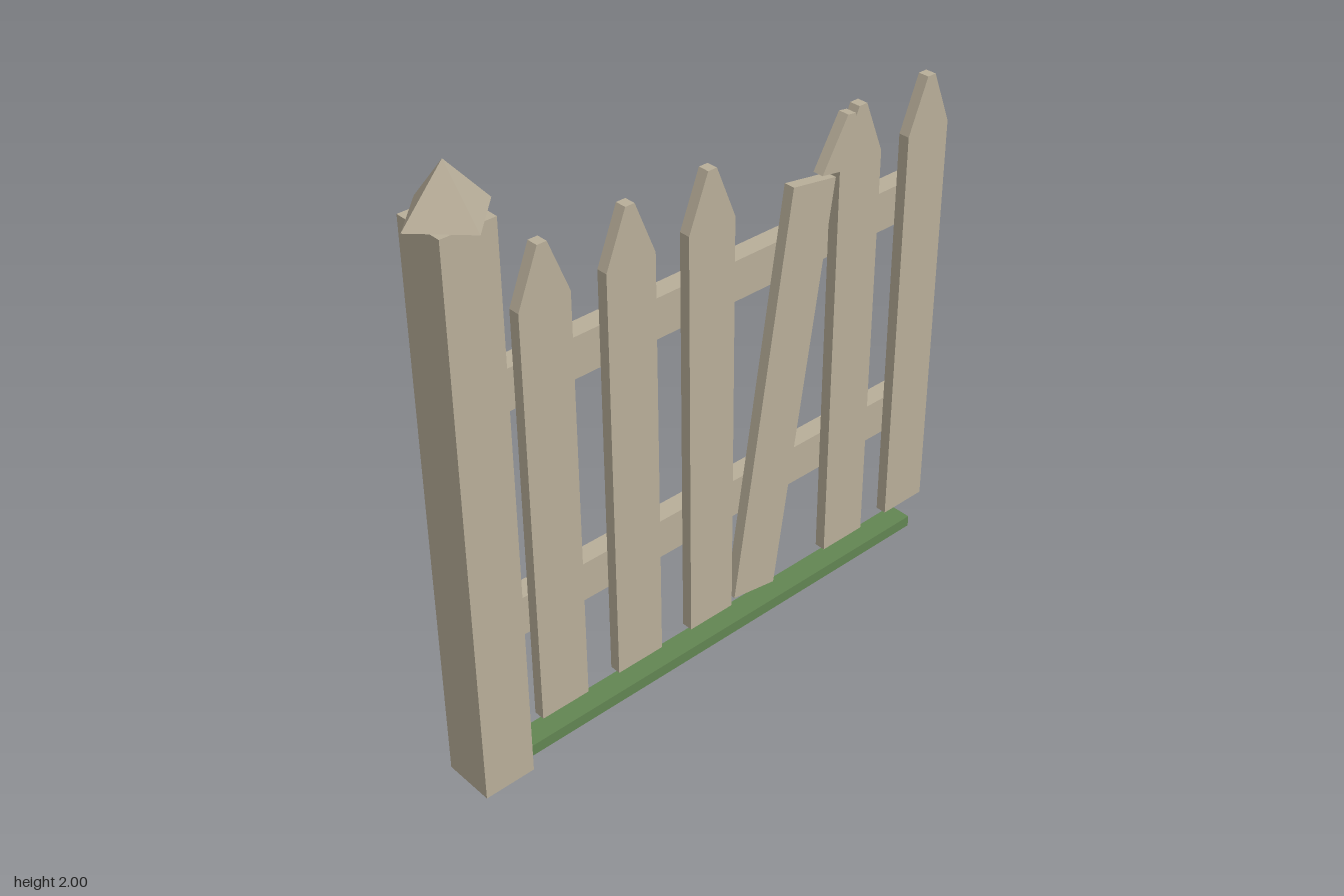
import * as THREE from 'three';

const wood = new THREE.MeshStandardMaterial({ color: 0xb8ae99 });
wood.name = 'weathered wood';
const grass = new THREE.MeshStandardMaterial({ color: 0x628552 });
grass.name = 'grass green';

const HALF = 0.086;   // half the width of a picket
const TIP = 0.016;    // half the width of its blunt tip
const HEAD = 0.175;   // height of the pointed head
const THICK = 0.037;

export function createModel() {
  const model = new THREE.Group();
  model.name = 'brokenFence';

  function add(name, geometry, material, x, y, z) {
    const mesh = new THREE.Mesh(geometry, material);
    mesh.name = name;
    mesh.position.set(x, y, z);
    model.add(mesh);
    return mesh;
  }

  // Box given by its lowest and highest corners
  function addBox(name, material, [x0, y0, z0], [x1, y1, z1]) {
    const geometry = new THREE.BoxGeometry(x1 - x0, y1 - y0, z1 - z0);
    return add(name, geometry, material, (x0 + x1) / 2, (y0 + y1) / 2, (z0 + z1) / 2);
  }

  // Flat board of a given shoulder height, ending in a blunt point
  function picketGeometry(shoulder) {
    const points = [[-HALF, 0], [HALF, 0]];
    if (shoulder > 0) points.push([HALF, shoulder]);
    points.push([TIP, shoulder + HEAD], [-TIP, shoulder + HEAD]);
    if (shoulder > 0) points.push([-HALF, shoulder]);
    const shape = new THREE.Shape(points.map(([x, y]) => new THREE.Vector2(x, y)));
    return new THREE.ExtrudeGeometry(shape, { depth: THICK, bevelEnabled: false });
  }

  // Post with a pyramid cap turned corner-on
  addBox('post', wood, [-0.932, 0, -0.086], [-0.76, 1.847, 0.086]);
  const cap = new THREE.ConeGeometry(0.135, 0.153, 4).toNonIndexed();
  cap.computeVertexNormals();
  add('postCap', cap, wood, -0.846, 1.9235, 0);

  // Rails behind the pickets
  for (const [name, y] of [['lowerRail', 0.423], ['upperRail', 1.198]]) {
    addBox(name, wood, [-0.8, y, -0.072], [0.976, y + 0.134, -0.006]);
  }

  // Upright pickets
  const picket = picketGeometry(1.395);
  [-0.596, -0.304, -0.012, 0.572, 0.862].forEach((x, i) => {
    add(`picket${i + 1}`, picket, wood, x, 0.12, 0.004);
  });

  // Leaning picket with its head snapped off
  const lean = -0.154;
  const board = new THREE.BoxGeometry(HALF * 2, 1.396, THICK);
  add('leaningPicket', board, wood, 0.278, 0.818, 0.004 + THICK / 2).rotation.z = lean;
  add('brokenHead', picketGeometry(0), wood, 0.5, 1.503, 0.004).rotation.z = lean;

  // Strip of grass along the ground
  addBox('grassStrip', grass, [-0.77, 0, -0.04], [0.9, 0.039, 0.04]);

  return model;
}
